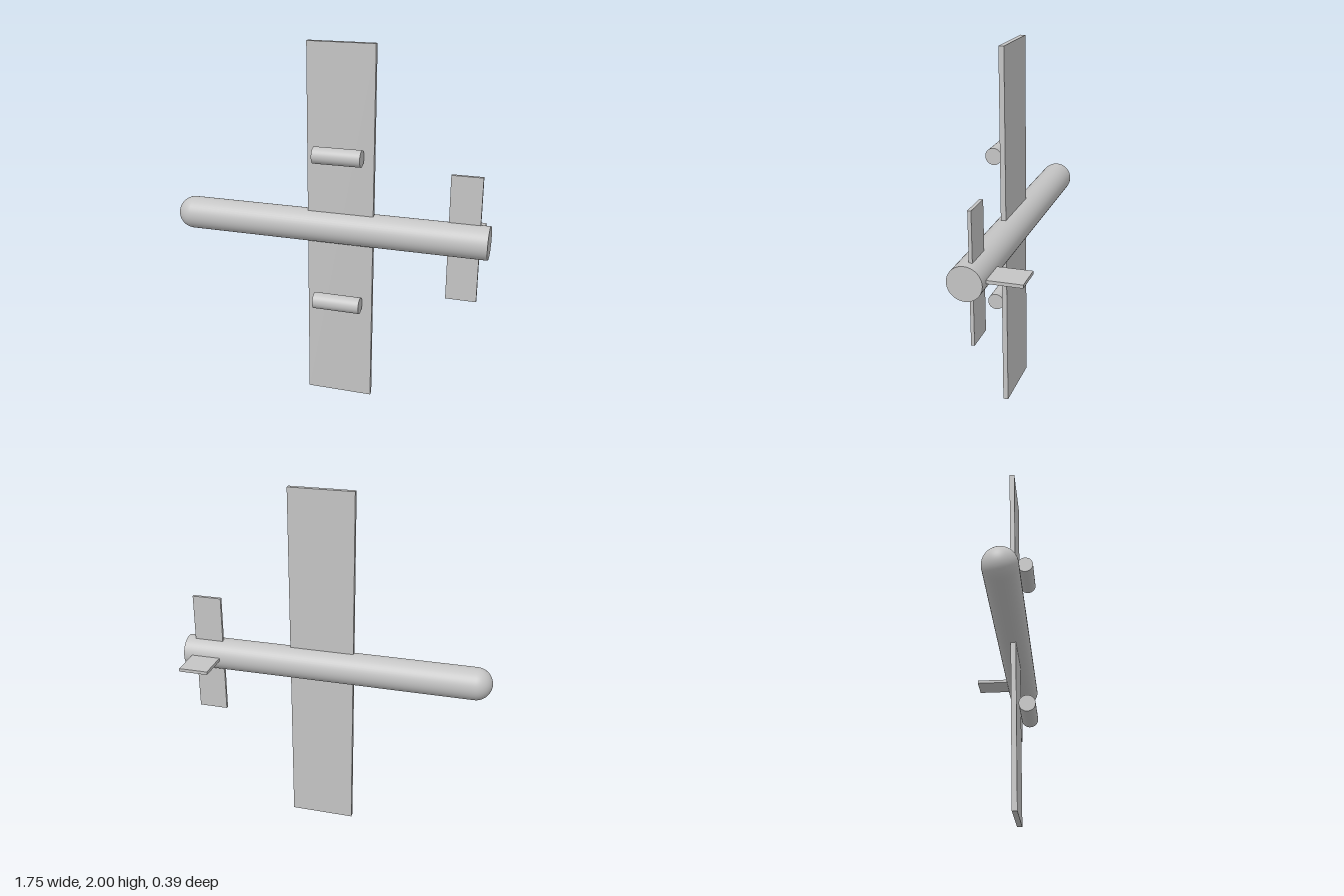
import * as THREE from 'three';

export function createModel() {
  const model = new THREE.Group();
  const grey = new THREE.MeshStandardMaterial({ color: 0xc4c4c4 });
  grey.name = 'light grey';

  function add(name, geometry, x, y, z) {
    const mesh = new THREE.Mesh(geometry, grey);
    mesh.name = name;
    mesh.position.set(x, y, z);
    model.add(mesh);
  }
  // Flat plate given by its extents
  function plate(name, [x0, x1], [y0, y1], [z0, z1]) {
    add(name, new THREE.BoxGeometry(x1 - x0, y1 - y0, z1 - z0),
      (x0 + x1) / 2, (y0 + y1) / 2, (z0 + z1) / 2);
  }
  // Round body lying along x
  function tube(name, radius, x0, x1, y, z) {
    add(name, new THREE.CylinderGeometry(radius, radius, x1 - x0, 48).rotateZ(Math.PI / 2),
      (x0 + x1) / 2, y, z);
  }

  // Fuselage with a rounded nose towards -x
  const radius = 0.09, noseX = -0.787, bodyZ = 0.075;
  tube('fuselage', radius, noseX, 0.877, 1, bodyZ);
  const dome = new THREE.SphereGeometry(radius, 48, 16, 0, Math.PI * 2, 0, Math.PI / 2);
  add('nose', dome.rotateZ(Math.PI / 2), noseX, 1, bodyZ);

  // Main wing
  plate('wing', [-0.105, 0.26], [0, 2], [0.07, 0.098]);

  // Tail surfaces
  plate('tailplane', [0.66, 0.826], [0.653, 1.347], [0.05, 0.068]);
  plate('tailFin', [0.66, 0.826], [0.991, 1.009], [-0.197, 0.06]);

  // Engine pods, mirrored about the fuselage
  for (const side of [-1, 1]) tube('enginePod', 0.045, -0.054, 0.208, 1 + side * 0.418, 0.151);

  return model;
}
